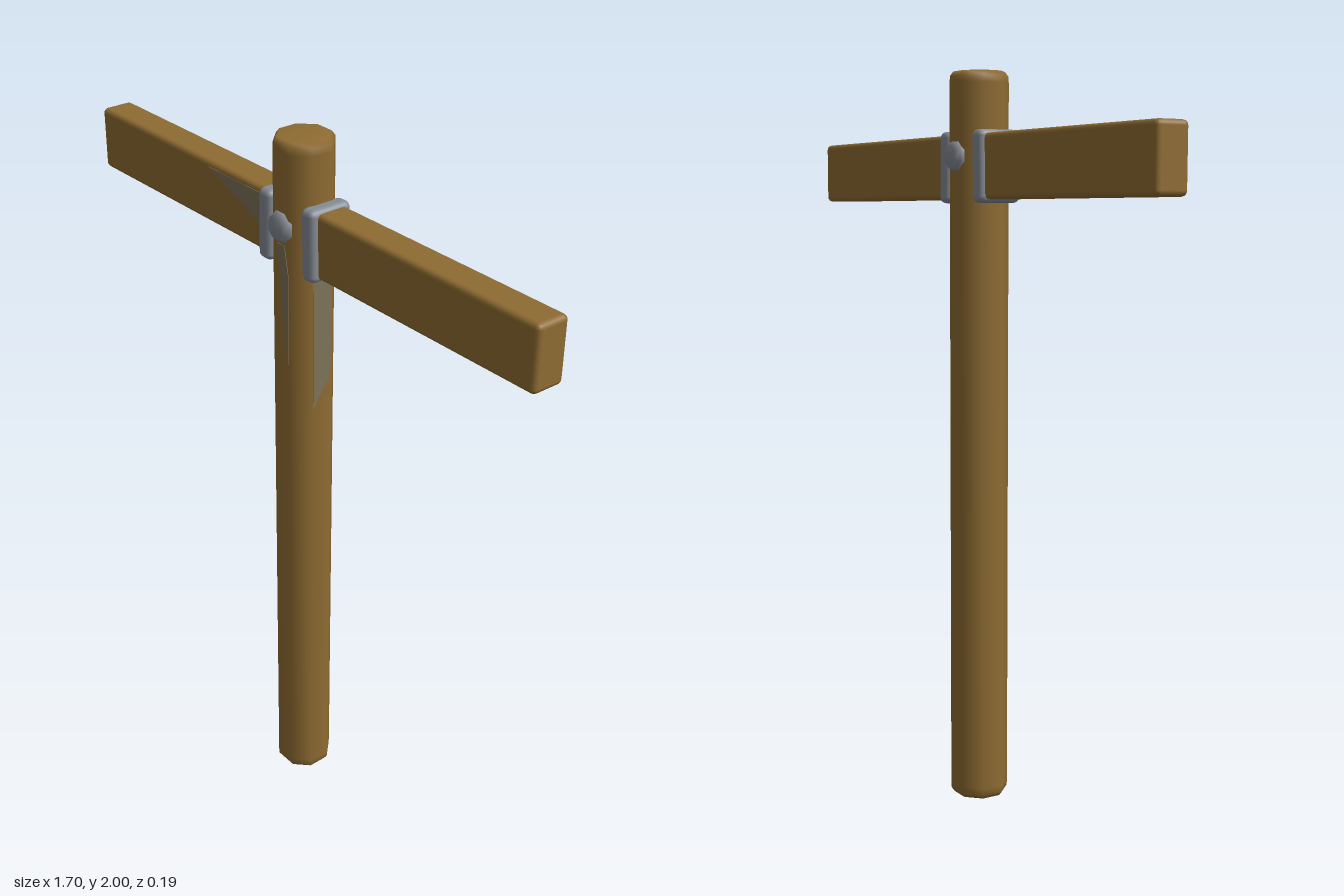
import * as THREE from 'three';
import { RoundedBoxGeometry } from 'three/addons/geometries/RoundedBoxGeometry.js';

export function createModel() {
  const group = new THREE.Group();
  const material = (name, color) => {
    const m = new THREE.MeshStandardMaterial({ color });
    m.name = name;
    return m;
  };
  const wood = material('wood', 0x8f6c32);
  const metal = material('metal', 0x858c94);
  const stain = material('weathered wood', 0x7d7458);

  const add = (name, geometry, mat, x = 0, y = 0, z = 0) => {
    const mesh = new THREE.Mesh(geometry, mat);
    mesh.name = name;
    mesh.position.set(x, y, z);
    group.add(mesh);
    return mesh;
  };
  const lathe = (points) =>
    new THREE.LatheGeometry(points.map(([r, y]) => new THREE.Vector2(r, y)), 8, Math.PI / 8);

  // Eight-sided post with softened ends
  add('post', lathe([
    [0, 0], [0.07, 0], [0.079, 0.012], [0.08, 0.03],
    [0.08, 1.97], [0.079, 1.988], [0.07, 2], [0, 2],
  ]), wood);

  // Crossbar arms and the metal collars where they meet the post
  for (const side of [-1, 1]) {
    const label = side > 0 ? 'left' : 'right';
    add(label + 'Arm', new RoundedBoxGeometry(0.81, 0.173, 0.094, 2, 0.014), wood,
      side * 0.445, 1.749, -0.002);
    const collar = add(label + 'Collar', new RoundedBoxGeometry(0.05, 0.192, 0.128, 2, 0.017),
      metal, side * 0.086, 1.749, 0);
    collar.rotation.z = side * 0.02;
  }

  // Domed bolt heads, front and back
  for (const side of [-1, 1]) {
    const bolt = add(side > 0 ? 'frontBolt' : 'backBolt',
      lathe([[0.036, 0], [0.042, 0.012], [0.04, 0.02], [0.028, 0.033], [0, 0.034]]),
      metal, 0, 1.777, side * 0.06);
    bolt.rotation.x = side * Math.PI / 2;
  }

  // Thin weathered streaks below and beside the fittings
  const streak = (name, corners) => add(name, new THREE.ExtrudeGeometry(
    new THREE.Shape(corners.map(([x, y]) => new THREE.Vector2(x, y))),
    { depth: 0.002, bevelEnabled: false }), stain);
  streak('armStreak', [[-0.11, 1.82], [-0.34, 1.82], [-0.11, 1.73]]).position.z = 0.0445;
  streak('frontStreak', [[0.028, 1.4], [0.03, 1.65], [0.015, 1.73], [-0.015, 1.73]])
    .position.z = 0.0735;
  const sideStreak = streak('sideStreak', [[-0.03, 1.27], [0.028, 1.36], [0.03, 1.66], [-0.03, 1.66]]);
  sideStreak.rotation.y = Math.PI / 2;
  sideStreak.position.x = 0.0735;

  return group;
}
